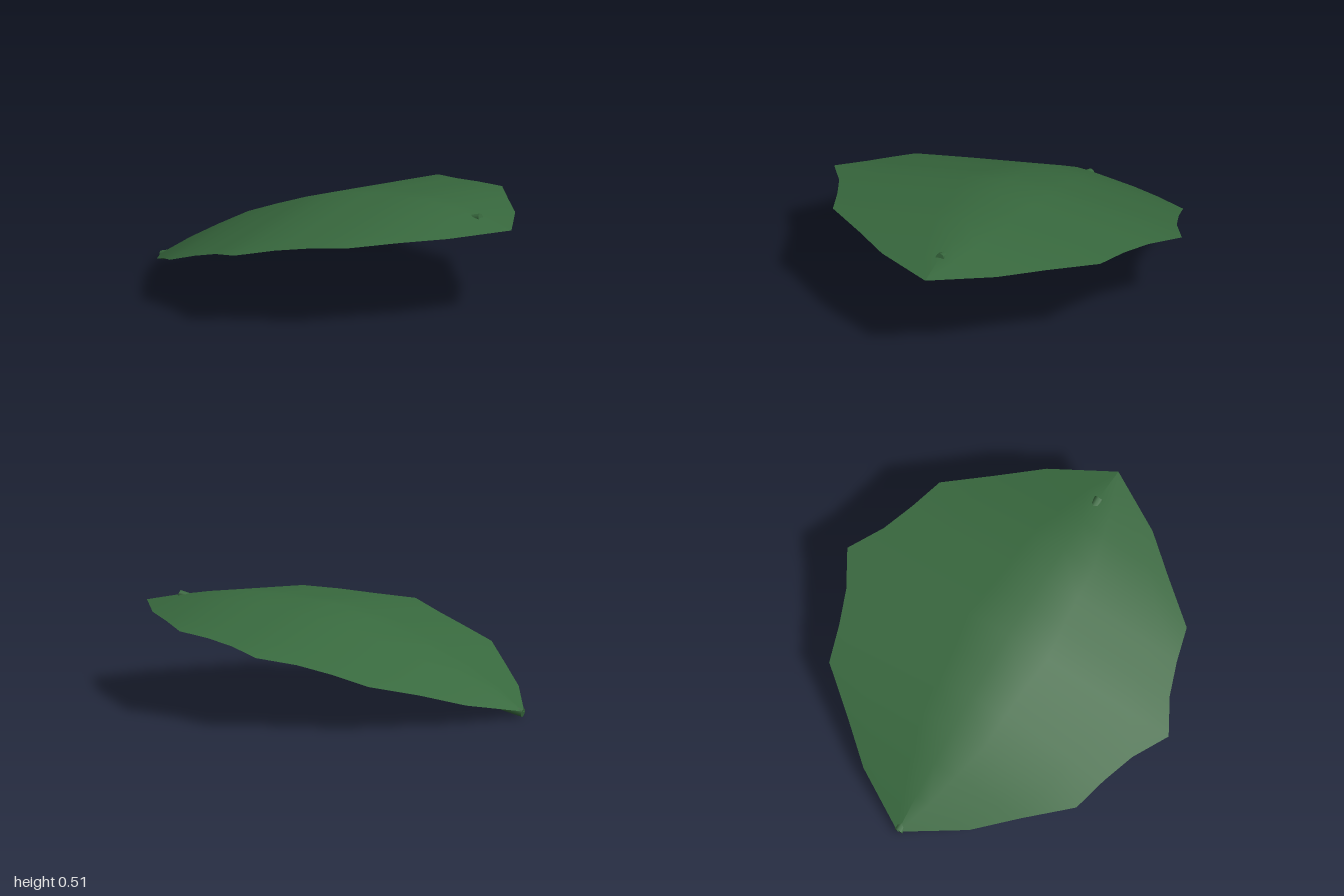
import * as THREE from 'three';

// Stations along the leaf: x, half width, midrib height, margin height
const STATIONS = [
  [-1, 0, 0.03, 0.03], [-0.83, 0.3, 0.137, 0.095], [-0.67, 0.49, 0.225, 0.163],
  [-0.5, 0.7, 0.312, 0.225], [-0.33, 0.75, 0.375, 0.28], [-0.17, 0.81, 0.43, 0.325],
  [0, 0.91, 0.48, 0.363], [0.17, 0.81, 0.495, 0.39], [0.33, 0.75, 0.506, 0.41],
  [0.5, 0.7, 0.513, 0.422], [0.67, 0.49, 0.493, 0.427], [0.83, 0.3, 0.465, 0.428],
  [1, 0, 0.428, 0.428],
];

// Arched blade, sloping from the midrib down to a lobed margin
function bladeGeometry(across = 8) {
  const pos = [], index = [], row = across + 1;
  STATIONS.forEach(([x, half, mid, edge], i) => {
    for (let j = 0; j <= across; j++) {
      const t = (j / across) * 2 - 1;
      pos.push(x, THREE.MathUtils.lerp(mid, edge, Math.abs(t)), half * t);
      if (i < STATIONS.length - 1 && j < across) {
        const a = i * row + j, b = a + 1, c = a + row, d = c + 1;
        if (i > 0) index.push(a, b, c);
        if (i === 0) index.push(a, d, c);
        else if (i < STATIONS.length - 2) index.push(b, d, c);
      }
    }
  });
  const g = new THREE.BufferGeometry();
  g.setAttribute('position', new THREE.Float32BufferAttribute(pos, 3));
  g.setIndex(index);
  g.computeVertexNormals();
  return g;
}

export function createModel() {
  const group = new THREE.Group();
  group.name = 'leaf';
  const leafGreen = new THREE.MeshStandardMaterial({ color: 0x38693e, side: THREE.DoubleSide });
  leafGreen.name = 'leaf green';

  const blade = new THREE.Mesh(bladeGeometry(), leafGreen);
  blade.name = 'blade';
  group.add(blade);

  // Straight stem under the blade, its tip poking through near the front
  const from = new THREE.Vector3(-0.993, 0.024, 0), to = new THREE.Vector3(0.825, 0.465, 0);
  const dir = to.clone().sub(from);
  const stem = new THREE.Mesh(new THREE.CylinderGeometry(0.022, 0.022, dir.length(), 8), leafGreen);
  stem.name = 'stem';
  stem.position.copy(from).add(to).multiplyScalar(0.5);
  stem.quaternion.setFromUnitVectors(new THREE.Vector3(0, 1, 0), dir.normalize());
  group.add(stem);
  return group;
}
